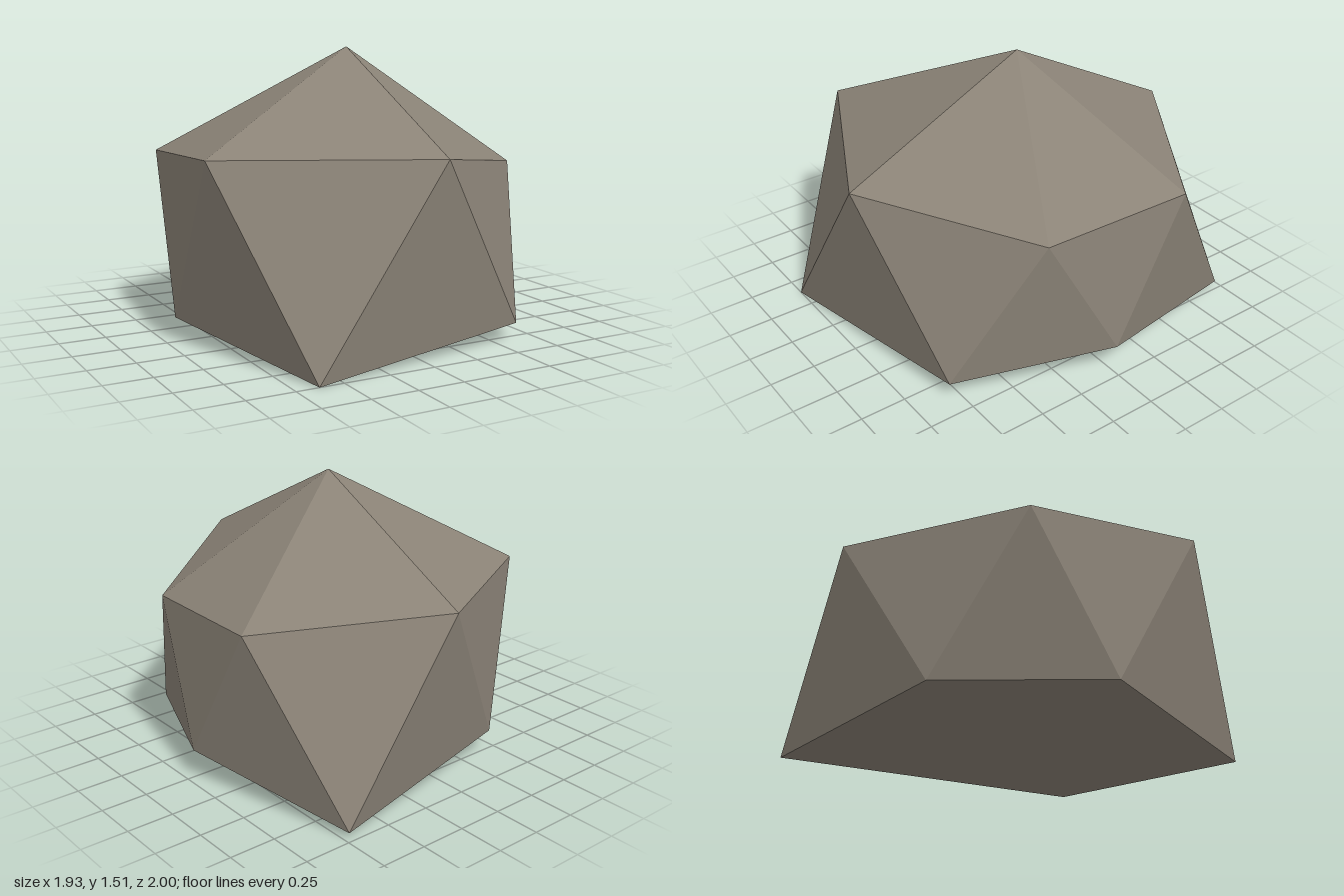
import * as THREE from 'three';

// Faceted boulder: two staggered six-point rings, each closed by a centre point.
export function createModel() {
  const stone = new THREE.MeshStandardMaterial({ color: 0x8b8377 });
  stone.name = 'warm grey stone';

  const crown = [0.07, 1.51, -0.02];
  const base = [0.07, 0.085, -0.02];
  // Rings run from the front towards +x and on around the back
  const upper = [
    [0.07, 1.01, 1.0], [0.87, 0.88, 0.38], [0.94, 0.92, -0.44],
    [0.07, 0.99, -1.0], [-0.87, 0.95, -0.47], [-0.97, 1.01, 0.49],
  ];
  const lower = [
    [0.63, 0.09, 0.81], [0.965, 0.16, -0.01], [0.725, 0.03, -0.975],
    [-0.44, 0.12, -0.77], [-0.945, 0.125, -0.02], [-0.63, 0, 1.0],
  ];

  const positions = [];
  const face = (...corners) => corners.forEach((p) => positions.push(...p));
  for (let i = 0; i < 6; i++) {
    const j = (i + 1) % 6;
    face(crown, upper[i], upper[j]); // sloping top
    face(upper[i], lower[i], upper[j]); // side, pointing down
    face(lower[i], lower[j], upper[j]); // side, pointing up
    face(base, lower[j], lower[i]); // slightly hollow underside
  }

  const geometry = new THREE.BufferGeometry();
  geometry.setAttribute('position', new THREE.Float32BufferAttribute(positions, 3));
  geometry.computeVertexNormals(); // unshared corners keep every facet flat

  const boulder = new THREE.Mesh(geometry, stone);
  boulder.name = 'boulder';
  const model = new THREE.Group();
  model.name = 'rock';
  model.add(boulder);
  return model;
}
